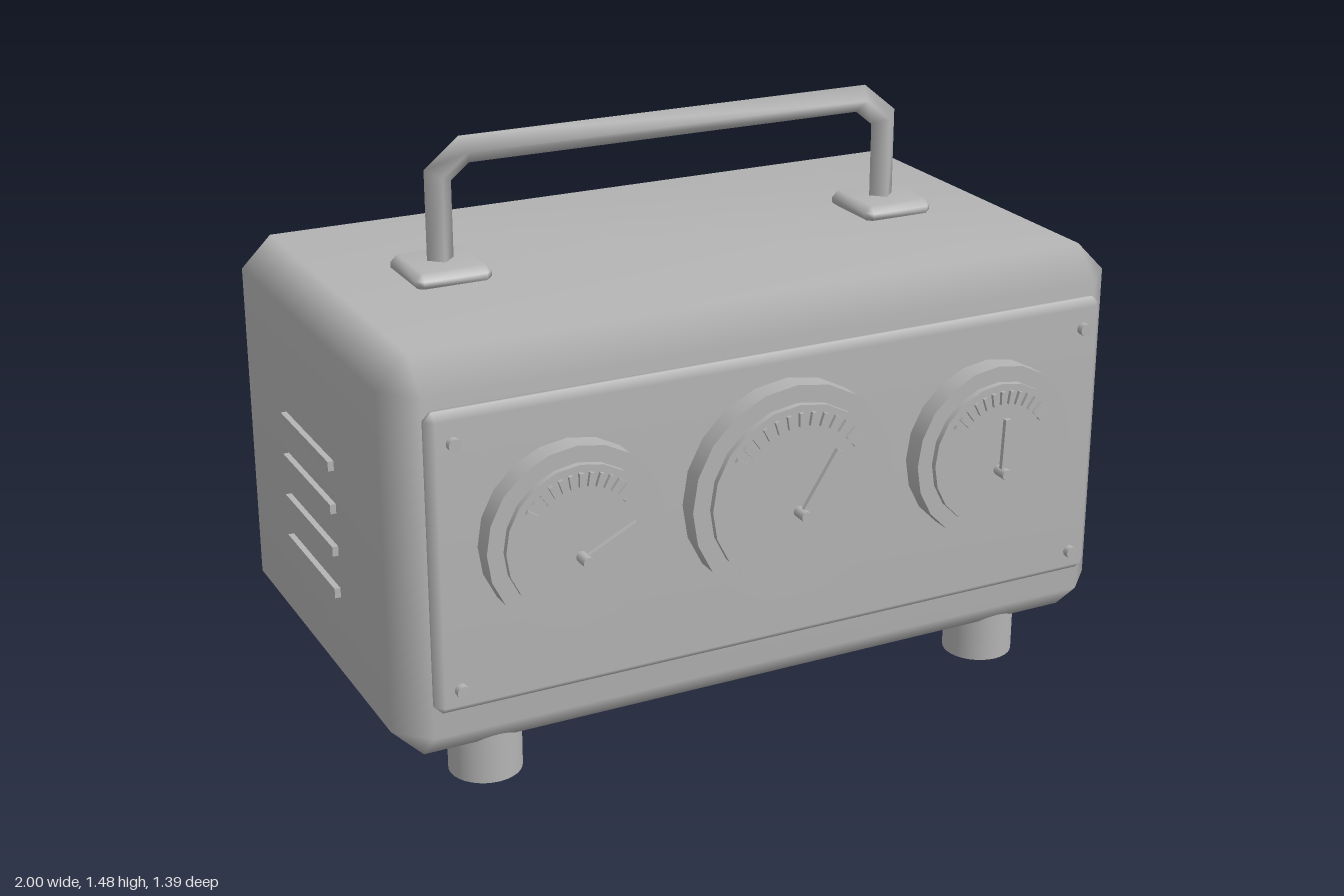
import * as THREE from 'three';
import { mergeVertices } from 'three/addons/utils/BufferGeometryUtils.js';
import { ConvexGeometry } from 'three/addons/geometries/ConvexGeometry.js';

const grey = new THREE.MeshStandardMaterial({ color: 0xb4b4b4 });
grey.name = 'plain grey';

// Box with one chamfer along every edge, smooth shaded
function chamferBox(w, h, d, b) {
  const points = [];
  for (const x of [-1, 1]) for (const y of [-1, 1]) for (const z of [-1, 1]) {
    for (let axis = 0; axis < 3; axis++) {
      const [px, py, pz] = [w, h, d].map((s, i) => s / 2 - (i === axis ? 0 : b));
      points.push(new THREE.Vector3(x * px, y * py, z * pz));
    }
  }
  const convex = new ConvexGeometry(points);
  convex.deleteAttribute('normal');
  const geometry = mergeVertices(convex, 1e-4);
  geometry.computeVertexNormals();
  return geometry;
}

// Cylinder pointing along z
const disc = (r, depth, sides) => new THREE.CylinderGeometry(r, r, depth, sides).rotateX(Math.PI / 2);

// Diamond section swept along a path in the xy plane, mitred at the bends
function diamondTube(path, r) {
  const positions = [], index = [];
  const last = path.length - 1;
  path.forEach((p, i) => {
    const before = path[i].clone().sub(path[Math.max(i - 1, 0)]).normalize();
    const after = path[Math.min(i + 1, last)].clone().sub(p).normalize();
    const t = before.clone().add(after).normalize();
    const k = r / t.dot(i < last ? after : before);
    const nx = -t.y * k, ny = t.x * k;
    positions.push(p.x + nx, p.y + ny, 0, p.x, p.y, r, p.x - nx, p.y - ny, 0, p.x, p.y, -r);
    if (i < last) for (let j = 0; j < 4; j++) {
      const a = i * 4 + j, b = i * 4 + (j + 1) % 4;
      index.push(a, b, b + 4, a, b + 4, a + 4);
    }
  });
  const geometry = new THREE.BufferGeometry();
  geometry.setAttribute('position', new THREE.Float32BufferAttribute(positions, 3));
  geometry.setIndex(index);
  geometry.computeVertexNormals();
  return geometry;
}

function add(parent, name, geometry, x, y, z) {
  const mesh = new THREE.Mesh(geometry, grey);
  mesh.name = name;
  mesh.position.set(x, y, z);
  parent.add(mesh);
  return mesh;
}

// Stepped dial with an arc of ticks and a needle
function gauge(name, x, outer, inner, needleLength, needleAngle) {
  const g = new THREE.Group();
  g.name = name;
  g.position.set(x, 0.687, 0);
  add(g, 'dialRim', disc(outer, 0.06, 20), 0, 0, 0.607);
  add(g, 'dialFace', disc(inner, 0.05, 20), 0, 0, 0.628);
  const tick = new THREE.BoxGeometry(0.011, 0.034, 0.012);
  for (let i = 0; i < 13; i++) {
    const a = (i / 12 - 0.5) * 1.9, r = inner - 0.036;
    add(g, 'tick', tick, -Math.sin(a) * r, Math.cos(a) * r, 0.656).rotation.z = a;
  }
  const needle = new THREE.BoxGeometry(needleLength, 0.016, 0.012).translate(needleLength / 2, 0, 0);
  add(g, 'needle', needle, 0, -0.042, 0.674).rotation.z = needleAngle;
  add(g, 'needlePivot', disc(0.014, 0.045, 12), 0, -0.042, 0.6725);
  return g;
}

export function createModel() {
  const model = new THREE.Group();
  model.name = 'gaugeBox';

  // Case and panels
  add(model, 'case', chamferBox(1.985, 1.02, 1.157, 0.08), 0.0075, 0.625, -0.0365);
  add(model, 'frontPanel', chamferBox(1.83, 0.755, 0.05, 0.02), 0.005, 0.648, 0.557);
  add(model, 'backPanel', chamferBox(1.12, 0.527, 0.04, 0.015), 0.005, 0.624, -0.625);

  // Dials
  model.add(
    gauge('rightGauge', -0.57, 0.228, 0.187, 0.148, 0.46),
    gauge('middleGauge', 0.003, 0.277, 0.232, 0.178, 1.0),
    gauge('leftGauge', 0.575, 0.228, 0.187, 0.142, 1.53)
  );

  // Panel screws
  for (const x of [-0.85, 0.86]) for (const y of [0.333, 0.952]) {
    add(model, 'screw', disc(0.016, 0.03, 12), x, y, 0.585);
  }

  // Knobs on the back
  for (const x of [-0.355, 0.004, 0.364]) {
    add(model, 'knob', disc(0.066, 0.065, 32), x, 0.625, -0.6625);
  }

  // Feet
  const foot = new THREE.CylinderGeometry(0.092, 0.092, 0.13, 32);
  for (const x of [-0.718, 0.72]) for (const z of [0.385, -0.455]) {
    add(model, 'foot', foot, x, 0.065, z);
  }

  // Vent slats on the right side
  for (let i = 0; i < 4; i++) {
    add(model, 'ventSlat', new THREE.BoxGeometry(0.03, 0.025, 0.36), -0.985, 0.42 + i * 0.112, -0.042);
  }

  // Carrying handle and its mounting pads
  const path = [[-0.627, 1.14], [-0.627, 1.385], [-0.557, 1.442], [0.562, 1.442], [0.632, 1.385], [0.632, 1.14]]
    .map(([x, y]) => new THREE.Vector2(x, y));
  add(model, 'handle', diamondTube(path, 0.035), 0, 0, -0.039);
  for (const x of [-0.627, 0.632]) {
    add(model, 'handlePad', chamferBox(0.2, 0.05, 0.206, 0.018), x, 1.148, -0.037);
  }

  return model;
}
